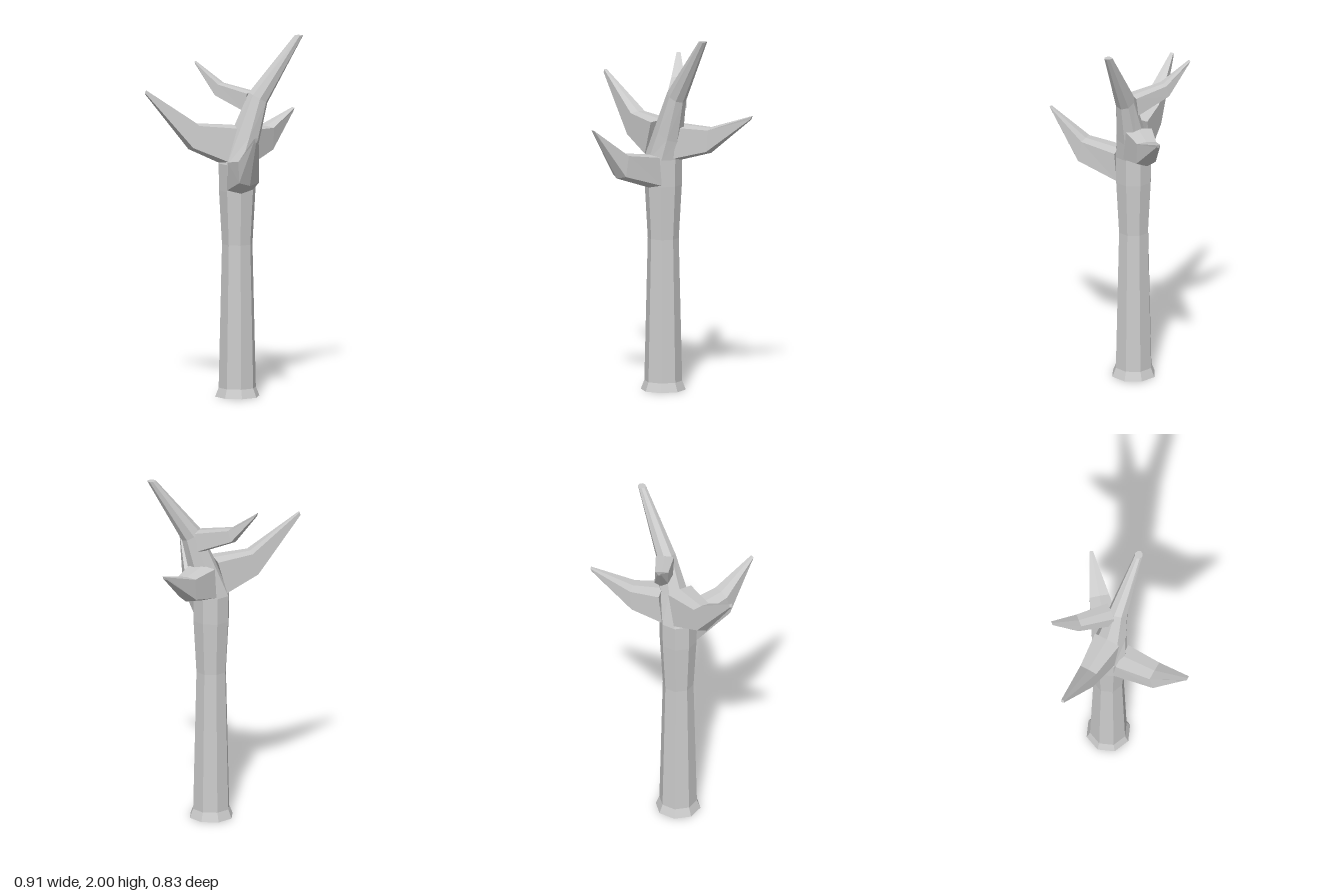
import * as THREE from 'three';

const material = new THREE.MeshStandardMaterial({ color: 0xcccccc, flatShading: true });

// Skin a list of equal-sized rings (counter-clockwise seen from the tip) and cap both ends.
function loft(name, rings) {
  const n = rings[0].length;
  const index = [];
  for (let r = 0; r < rings.length - 1; r++) {
    for (let i = 0; i < n; i++) {
      const j = (i + 1) % n;
      const a = r * n + i, b = r * n + j, c = a + n, d = b + n;
      index.push(a, b, d, a, d, c);
    }
  }
  const last = (rings.length - 1) * n;
  for (let i = 1; i < n - 1; i++) {
    index.push(0, i + 1, i);
    index.push(last, last + i, last + i + 1);
  }
  const geometry = new THREE.BufferGeometry();
  geometry.setAttribute('position', new THREE.Float32BufferAttribute(rings.flat(2), 3));
  geometry.setIndex(index);
  const flat = geometry.toNonIndexed();
  flat.computeVertexNormals();
  const mesh = new THREE.Mesh(flat, material);
  mesh.name = name;
  return mesh;
}

const TRUNK_X = 0.065, TRUNK_Z = -0.09;

// Octagonal ring, tilted from its left point to its right point.
function trunkRing([xl, yl, xr, yr, depth]) {
  return Array.from({ length: 8 }, (_, i) => {
    const c = Math.cos(i * Math.PI / 4), s = Math.sin(i * Math.PI / 4);
    return [(xl + xr) / 2 + c * (xr - xl) / 2, (yl + yr) / 2 + c * (yr - yl) / 2, TRUNK_Z - s * depth];
  });
}

const level = (y, r) => [TRUNK_X - r, y, TRUNK_X + r, y, r];

// Six-sided branch. Each section: bottom reach, bottom y, top reach, top y, half width.
function branch(name, [ox, oz], [dx, dz], sections) {
  const length = Math.hypot(dx, dz);
  dx /= length;
  dz /= length;
  const point = (u, y, side) => [ox + dx * u + dz * side, y, oz + dz * u - dx * side];
  return loft(name, sections.map(([ub, yb, ut, yt, w]) => [
    point(ub, yb, 0),
    point(ub - 0.35 * w, yb + 0.25 * w, w),
    point(ut, yt - 0.1 * w, w),
    point(ut, yt, 0),
    point(ut, yt - 0.1 * w, -w),
    point(ub - 0.35 * w, yb + 0.25 * w, -w),
  ]));
}

export function createModel() {
  const tree = new THREE.Group();
  tree.name = 'bareTree';
  const axis = [TRUNK_X, TRUNK_Z];

  // Trunk with flared foot, bending into the tallest limb
  tree.add(loft('trunk', [
    level(0, 0.125),
    level(0.05, 0.105),
    level(0.85, 0.086),
    level(1.15, 0.103),
    level(1.3, 0.105),
    [0.05, 1.51, 0.185, 1.4, 0.08],
    [0.13, 1.69, 0.235, 1.63, 0.053],
    [0.388, 2, 0.437, 2, 0.022],
  ].map(trunkRing)));

  // Side branches, each rising from a knee to a narrow tip
  tree.add(branch('frontBranch', axis, [0, 1], [
    [0.095, 1.14, 0.085, 1.325, 0.073],
    [0.33, 1.22, 0.29, 1.355, 0.056],
    [0.49, 1.48, 0.5, 1.51, 0.013],
  ]));
  tree.add(branch('rightBranch', axis, [-1, -0.01], [
    [0.095, 1.3, 0.015, 1.51, 0.076],
    [0.275, 1.385, 0.225, 1.525, 0.05],
    [0.52, 1.7, 0.512, 1.72, 0.009],
  ]));
  tree.add(branch('backLeftBranch', axis, [0.385, -0.32], [
    [0.1, 1.29, 0.09, 1.49, 0.078],
    [0.27, 1.335, 0.26, 1.475, 0.055],
    [0.495, 1.53, 0.5, 1.55, 0.01],
  ]));
  tree.add(branch('upperBackBranch', [0.15, -0.12], [-0.265, -0.225], [
    [0.03, 1.57, 0, 1.69, 0.05],
    [0.22, 1.65, 0.19, 1.725, 0.037],
    [0.345, 1.815, 0.35, 1.835, 0.011],
  ]));

  return tree;
}
